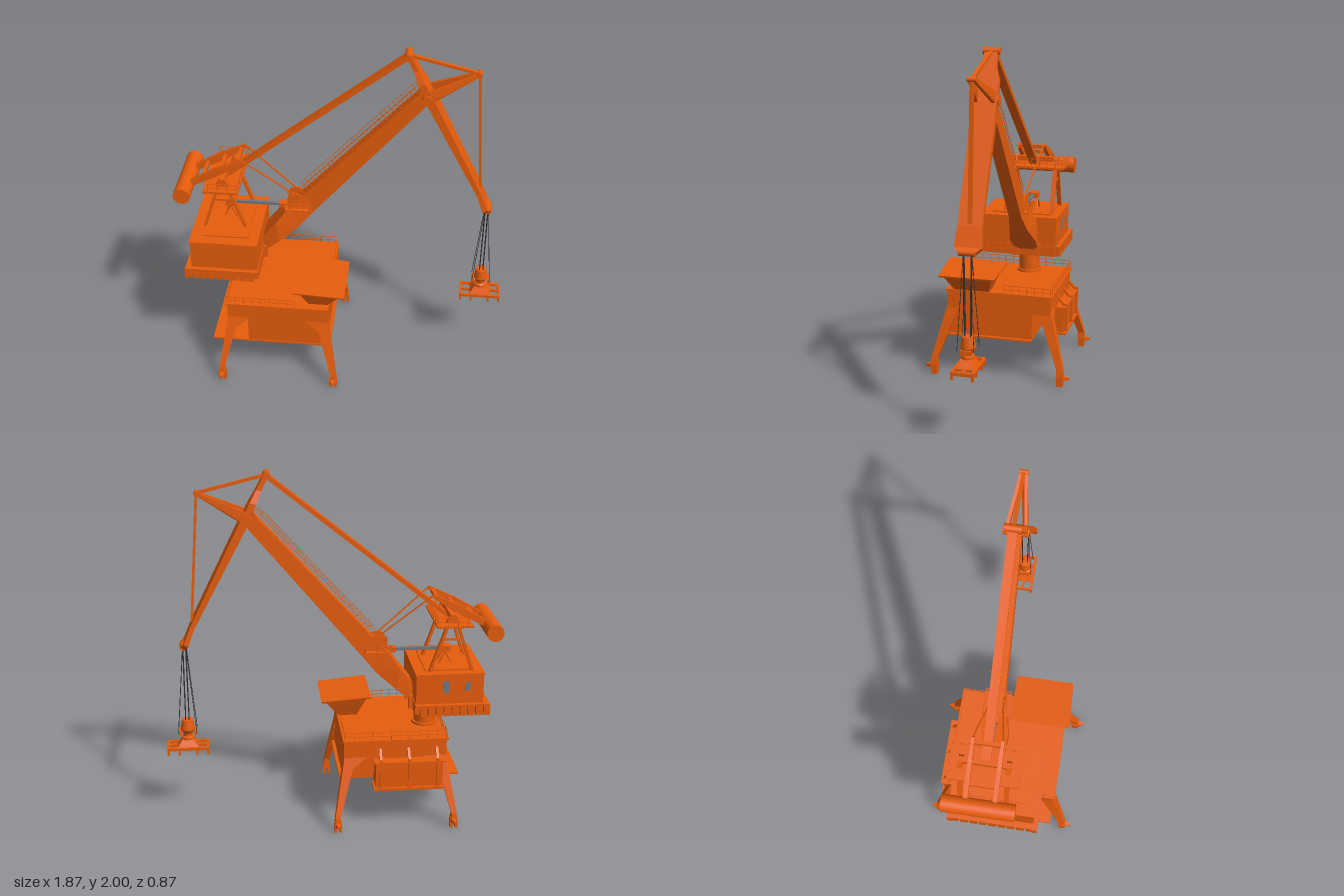
import * as THREE from 'three';
import { ConvexGeometry } from 'three/addons/geometries/ConvexGeometry.js';

const ZC = -0.07; // plane of the boom
const orange = new THREE.MeshStandardMaterial({ color: 0xe65c0c, flatShading: true });
const smooth = new THREE.MeshStandardMaterial({ color: 0xe65c0c });
const grey = new THREE.MeshStandardMaterial({ color: 0x707880 });
const dark = new THREE.MeshStandardMaterial({ color: 0x333333 });
const V = (x, y, z) => new THREE.Vector3(x, y, z);

export function createModel() {
  const root = new THREE.Group();
  const part = (name, parent = root) => {
    const g = new THREE.Group();
    g.name = name;
    parent.add(g);
    return g;
  };
  const add = (g, geo, mat = orange) => {
    const m = new THREE.Mesh(geo, mat);
    m.name = g.name;
    g.add(m);
    return m;
  };
  // box given by its limits
  const box = (g, x0, x1, y0, y1, z0, z1, mat) => {
    const m = add(g, new THREE.BoxGeometry(x1 - x0, y1 - y0, z1 - z0), mat);
    m.position.set((x0 + x1) / 2, (y0 + y1) / 2, (z0 + z1) / 2);
    return m;
  };
  // bar between two points: w across, h in the vertical plane
  const bar = (g, a, b, w, h = w, mat) => {
    const m = add(g, new THREE.BoxGeometry(w, h, a.distanceTo(b)), mat);
    m.position.copy(a).add(b).multiplyScalar(0.5);
    m.lookAt(b);
    return m;
  };
  const hull = (g, pts) => add(g, new ConvexGeometry(pts));
  // level rectangle as four corners
  const rect = (x0, x1, y, z0, z1) => [V(x0, y, z0), V(x1, y, z0), V(x1, y, z1), V(x0, y, z1)];
  // loft of convex pieces; each section is [topX, topY, bottomX, bottomY, halfWidth]
  const loft = (g, sections, zc = ZC) => {
    const ring = ([tx, ty, bx, by, w]) => [V(tx, ty, zc - w), V(tx, ty, zc + w), V(bx, by, zc - w), V(bx, by, zc + w)];
    for (let i = 1; i < sections.length; i++) hull(g, [...ring(sections[i - 1]), ...ring(sections[i])]);
  };
  // railing along a path, with posts along the given offset
  const railing = (g, pts, off = V(0, 0.05, 0), gap = 0.05, t = 0.003) => {
    for (let i = 1; i < pts.length; i++) {
      const a = pts[i - 1], b = pts[i];
      for (const k of [0.5, 1]) bar(g, a.clone().addScaledVector(off, k), b.clone().addScaledVector(off, k), t);
      const n = Math.max(1, Math.round(a.distanceTo(b) / gap));
      for (let j = 0; j <= n; j++) {
        const p = a.clone().lerp(b, j / n);
        bar(g, p, p.clone().add(off), t);
      }
    }
  };
  const cyl = (g, r0, r1, h, x, y, z, n = 24, mat = smooth) => {
    const m = add(g, new THREE.CylinderGeometry(r0, r1, h, n), mat);
    m.position.set(x, y, z);
    return m;
  };

  // portal deck and splayed legs
  const portal = part('portalDeck');
  box(portal, -0.635, -0.055, 0.41, 0.515, -0.31, 0.31);
  box(portal, -0.645, -0.05, 0.513, 0.523, -0.32, 0.32);
  for (const sx of [-1, 1]) for (const sz of [-1, 1]) {
    const X = d => -0.345 + sx * d, Z = d => sz * d;
    const leg = part('portalLeg');
    hull(leg, [...rect(X(0.225), X(0.287), 0.42, Z(0.24), Z(0.313)), ...rect(X(0.315), X(0.345), 0.09, Z(0.365), Z(0.402))]);
    hull(leg, [...rect(X(0.16), X(0.285), 0.42, Z(0.25), Z(0.31)), ...rect(X(0.235), X(0.295), 0.36, Z(0.26), Z(0.325))]);
    const fx = X(0.33), foot = part('foot');
    hull(foot, [...rect(fx - 0.012, fx + 0.012, 0.1, Z(0.36), Z(0.4)), ...rect(fx - 0.02, fx + 0.02, 0.035, Z(0.36), Z(0.405))]);
    for (const d of [-1, 1]) box(foot, fx + d * 0.014 - 0.007, fx + d * 0.014 + 0.007, 0, 0.06, sz * 0.382 - 0.018, sz * 0.382 + 0.018);
    hull(foot, [...rect(fx - 0.018, fx + 0.018, 0.06, Z(0.38), Z(0.4)), ...rect(fx - 0.018, fx + 0.018, 0.035, Z(0.38), Z(0.4)),
      ...rect(fx - 0.004, fx + 0.004, 0.055, Z(0.42), Z(0.436)), ...rect(fx - 0.004, fx + 0.004, 0.042, Z(0.42), Z(0.436))]);
  }
  const deckRail = part('deckRailing');
  railing(deckRail, [V(-0.24, 0.52, 0.31), V(-0.635, 0.52, 0.31), V(-0.635, 0.52, -0.31), V(-0.06, 0.52, -0.31), V(-0.06, 0.52, -0.03)]);

  // lower platform, room and hanging cabin
  const lower = part('lowerPlatform');
  box(lower, -0.73, -0.04, 0.24, 0.25, -0.2, 0.31);
  box(part('lowerRoom'), -0.52, -0.06, 0.25, 0.41, -0.2, 0.305);
  const cabin = part('rearCabin');
  box(cabin, -0.61, -0.23, 0.25, 0.4, -0.355, -0.265);
  box(cabin, -0.62, -0.22, 0.4, 0.408, -0.37, -0.26);
  box(cabin, -0.62, -0.22, 0.235, 0.25, -0.37, -0.26);
  for (const x of [-0.58, -0.42, -0.26]) {
    box(cabin, x - 0.008, x + 0.008, 0.24, 0.42, -0.37, -0.355);
    bar(cabin, V(x, 0.4, -0.36), V(x, 0.47, -0.3), 0.014);
  }

  // hopper with a slightly sloping rim
  const hopper = part('hopper');
  const rim = (y, e) => [V(-0.245 + e, y + 0.02, -0.01 + e), V(0.045 - e, y - 0.005, 0 + e), V(0.045 - e, y - 0.005, 0.335 - e), V(-0.245 + e, y + 0.02, 0.348 - e)];
  hull(hopper, [...rim(0.638, 0), ...rim(0.628, 0.003)]);
  hull(hopper, [...rim(0.63, 0.022), ...rect(-0.165, -0.06, 0.52, 0.06, 0.27)]);

  // slewing column
  const column = part('slewColumn');
  cyl(column, 0.062, 0.062, 0.12, -0.545, 0.58, ZC);
  cyl(column, 0.075, 0.075, 0.015, -0.545, 0.53, ZC);
  cyl(column, 0.075, 0.075, 0.015, -0.545, 0.632, ZC);

  // machinery house
  const house = part('machineryHouse');
  box(house, -0.845, -0.465, 0.69, 0.88, -0.25, 0.22);
  box(house, -0.85, -0.46, 0.872, 0.882, -0.255, 0.225);
  box(house, -0.86, -0.46, 0.64, 0.7, -0.25, 0.22);
  box(house, -0.88, -0.46, 0.694, 0.704, -0.275, 0.245);
  box(house, -0.78, -0.52, 0.88, 0.89, -0.2, 0.16);
  for (let i = 0; i < 9; i++) {
    const x = -0.865 + i * 0.045;
    for (const [a, b] of [[0.215, 0.243], [-0.272, -0.245]]) box(house, x - 0.018, x + 0.018, 0.636, 0.696, a, b);
  }
  for (let i = 0; i < 9; i++) {
    const z = -0.23 + i * 0.054;
    box(house, -0.88, -0.855, 0.636, 0.696, z - 0.022, z + 0.022);
  }
  const door = part('houseDoor');
  box(door, -0.65, -0.615, 0.77, 0.84, -0.254, -0.249, grey);
  box(door, -0.77, -0.74, 0.78, 0.83, -0.254, -0.249, grey);

  // tower frame carrying the upper platform
  const tower = part('towerFrame');
  for (const z of [0.055, -0.205]) {
    bar(tower, V(-0.785, 0.88, z), V(-0.69, 1.17, z), 0.026, 0.016);
    bar(tower, V(-0.545, 0.88, z), V(-0.645, 1.17, z), 0.026, 0.016);
    bar(tower, V(-0.72, 1.07, z), V(-0.61, 1.07, z), 0.012);
    hull(tower, [...rect(-0.71, -0.625, 1.16, z - 0.015, z + 0.015), ...rect(-0.68, -0.65, 1.215, z - 0.012, z + 0.012)]);
  }
  bar(tower, V(-0.665, 1.2, -0.22), V(-0.665, 1.2, 0.07), 0.03);
  const upper = part('upperPlatform');
  box(upper, -0.77, -0.57, 1.155, 1.167, -0.27, 0.125);
  railing(upper, [V(-0.74, 1.165, 0.12), V(-0.575, 1.165, 0.12), V(-0.575, 1.165, -0.265), V(-0.74, 1.165, -0.265)]);

  // counterweight drum on its rocking beams
  const weight = part('counterweight');
  cyl(weight, 0.048, 0.048, 0.4, -0.893, 1.12, -0.077, 32).rotation.x = Math.PI / 2;
  const rocker = part('rockingBeam');
  for (const s of [-1, 1]) {
    loft(rocker, [[-0.86, 1.163, -0.85, 1.127, 0.012], [-0.71, 1.25, -0.68, 1.215, 0.012], [-0.565, 1.318, -0.555, 1.3, 0.008]], ZC + s * 0.08);
    bar(part('rockerLink'), V(-0.56, 1.308, ZC + s * 0.08), V(-0.25, 1.05, ZC + s * 0.03), 0.007);
  }
  for (const t of [0.25, 0.6, 0.92]) {
    const x = -0.86 + t * 0.3, y = 1.145 + t * 0.16;
    bar(rocker, V(x, y, ZC - 0.08), V(x, y, ZC + 0.08), 0.02);
  }

  // main boom, wide at the foot
  const boom = part('boom');
  loft(boom, [[-0.46, 0.79, -0.465, 0.675, 0.07], [-0.385, 0.885, -0.37, 0.755, 0.08], [-0.31, 0.985, -0.255, 0.855, 0.055],
    [-0.22, 1.075, -0.17, 0.955, 0.037], [0.415, 1.775, 0.46, 1.71, 0.034]]);
  for (const z of [ZC - 0.07, ZC + 0.07]) box(boom, -0.5, -0.44, 0.64, 0.72, z - 0.015, z + 0.015);
  cyl(boom, 0.028, 0.028, 0.14, 0.45, 1.745, ZC).rotation.x = Math.PI / 2;
  for (const s of [-1, 1]) cyl(boom, 0.048, 0.048, 0.012, -0.27, 1.025, ZC + s * 0.035).rotation.x = Math.PI / 2;
  const walk = part('boomWalkway');
  for (const s of [-1, 1])
    railing(walk, [V(-0.215, 1.08, ZC + s * 0.033), V(0.41, 1.772, ZC + s * 0.033)], V(-0.03, 0.028, 0), 0.035, 0.002);
  const balcony = part('boomBalcony');
  box(balcony, -0.33, -0.19, 0.972, 0.98, -0.145, 0.0);
  railing(balcony, [V(-0.33, 0.978, 0), V(-0.19, 0.978, 0), V(-0.19, 0.978, -0.145), V(-0.33, 0.978, -0.145)], V(0, 0.045, 0), 0.035);

  // luffing rack
  const rack = part('luffingRack');
  bar(rack, V(-0.62, 0.975, ZC), V(-0.36, 0.975, ZC), 0.018, 0.016, grey);
  box(rack, -0.37, -0.32, 0.96, 0.99, ZC - 0.02, ZC + 0.02);
  box(rack, -0.68, -0.62, 0.958, 0.992, ZC - 0.03, ZC + 0.03);
  for (const s of [-1, 1]) for (const x of [-0.69, -0.61]) bar(rack, V(x, 0.88, ZC + s * 0.03), V(-0.65, 0.96, ZC + s * 0.025), 0.007);

  // tie bar from tower to jib
  bar(part('tieBar'), V(-0.66, 1.17, ZC), V(0.34, 1.975, ZC), 0.05, 0.024);

  // rocking jib: slim tail, broad plate, tapered nose
  const jib = part('jib');
  loft(jib, [[0.352, 1.996, 0.33, 1.982, 0.034], [0.4, 1.905, 0.372, 1.9, 0.038], [0.435, 1.84, 0.4, 1.832, 0.06],
    [0.49, 1.74, 0.45, 1.715, 0.064], [0.775, 1.16, 0.752, 1.148, 0.064], [0.815, 1.06, 0.79, 1.045, 0.072], [0.838, 1.04, 0.812, 1.02, 0.045]]);
  cyl(jib, 0.018, 0.018, 0.09, 0.822, 1.035, ZC).rotation.x = Math.PI / 2;
  cyl(jib, 0.02, 0.02, 0.09, 0.342, 1.982, ZC).rotation.x = Math.PI / 2;
  const strut = part('jibStrut');
  for (const s of [-1, 1])
    hull(strut, [0, 0.018].flatMap(d => [V(0.445, 1.785, ZC + s * (0.042 + d)), V(0.455, 1.715, ZC + s * (0.042 + d)),
      V(0.52, 1.765, ZC + s * (0.035 + d)), V(0.715, 1.897, ZC + s * (0.002 + d)), V(0.72, 1.88, ZC + s * (0.002 + d))]));
  cyl(strut, 0.014, 0.014, 0.05, 0.717, 1.888, ZC).rotation.x = Math.PI / 2;
  bar(part('jibTopBar'), V(0.34, 1.982, ZC), V(0.717, 1.89, ZC), 0.02, 0.016);
  bar(part('jibFrontBar'), V(0.717, 1.89, ZC), V(0.767, 1.17, ZC), 0.022, 0.014);

  // hoisting ropes
  const ropes = part('hoistRopes');
  const GX = 0.815;
  for (const sx of [-1, 1]) for (const sz of [-1, 1]) {
    bar(ropes, V(GX + sx * 0.008, 1.03, ZC + sz * 0.02), V(GX + sx * 0.01, 0.58, ZC + sz * 0.015), 0.004, 0.004, dark);
    bar(ropes, V(GX + sx * 0.01, 1.02, ZC + sz * 0.02), V(GX + sx * 0.052, 0.52, ZC + sz * 0.045), 0.0025, 0.0025, dark);
  }

  // rotating head and spreader with claws
  const head = part('liftingHead');
  const profile = [[0, 0.59], [0.032, 0.588], [0.038, 0.545], [0.04, 0.53], [0.026, 0.505], [0.026, 0.49], [0.036, 0.485], [0.036, 0.47], [0.022, 0.465], [0.022, 0.44], [0, 0.44]];
  add(head, new THREE.LatheGeometry(profile.reverse().map(p => new THREE.Vector2(...p)), 20), orange).position.set(GX, 0, ZC);
  for (const s of [-1, 1]) box(head, GX + s * 0.045 - 0.006, GX + s * 0.045 + 0.006, 0.5, 0.525, ZC - 0.03, ZC + 0.03);
  const spreader = part('spreader');
  hull(spreader, [...rect(GX - 0.025, GX + 0.025, 0.48, ZC - 0.02, ZC + 0.02), ...rect(GX - 0.06, GX + 0.06, 0.43, ZC - 0.045, ZC + 0.045)]);
  for (const z of [-0.055, 0, 0.055]) box(spreader, GX - 0.115, GX + 0.115, 0.418, 0.434, ZC + z - 0.007, ZC + z + 0.007);
  for (const x of [-0.112, -0.05, 0.05, 0.112]) {
    box(spreader, GX + x - 0.006, GX + x + 0.006, 0.414, 0.432, ZC - 0.062, ZC + 0.062);
    for (const z of [-0.055, 0.055]) box(spreader, GX + x - 0.006, GX + x + 0.006, 0.39, 0.42, ZC + z - 0.007, ZC + z + 0.007);
  }
  return root;
}
